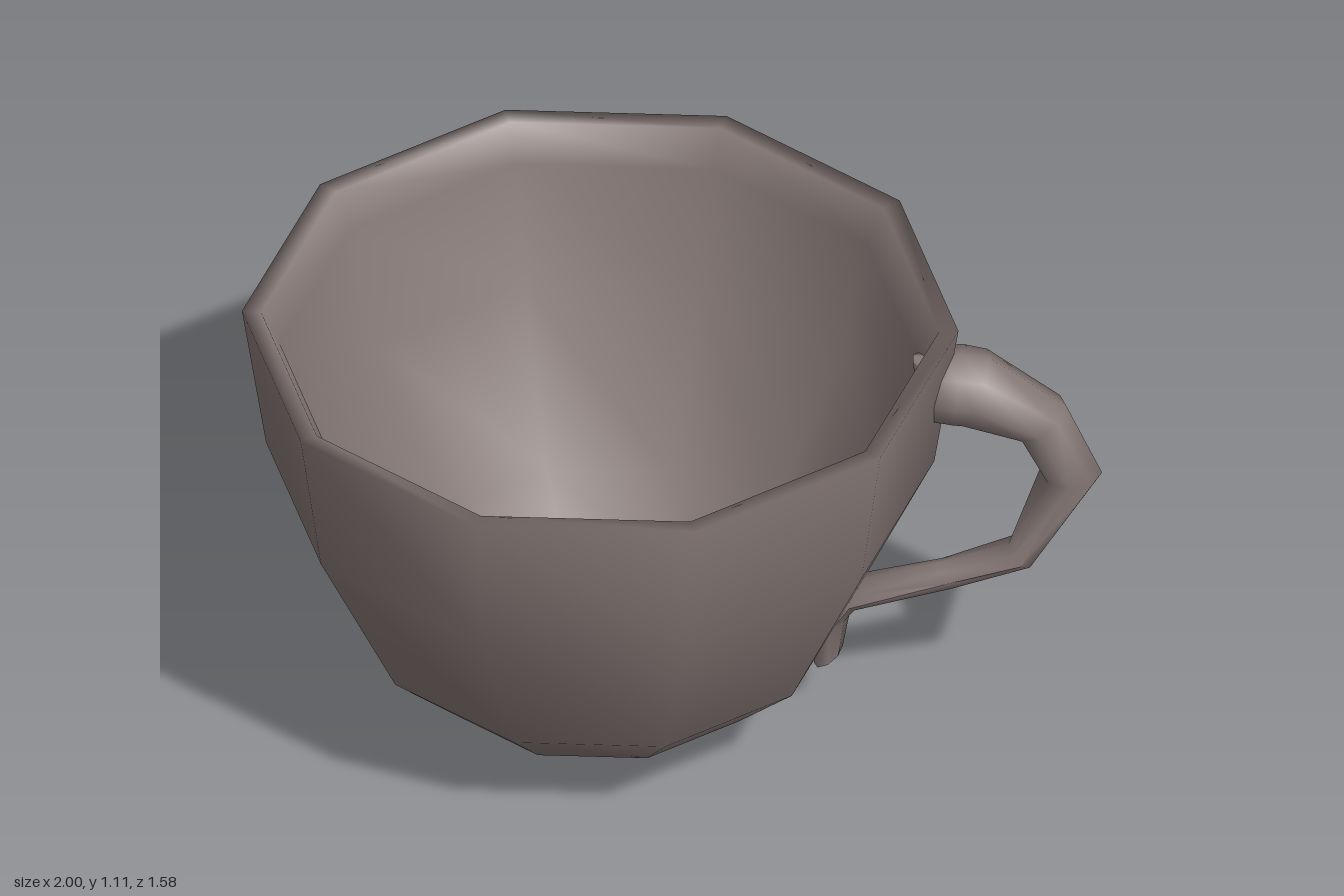
import * as THREE from 'three';
import { mergeVertices, toCreasedNormals } from 'three/addons/utils/BufferGeometryUtils.js';

const SIDES = 8;

// Skin through elliptical sections: [outer x, y, inner x, y, half width in z]
function loft(sections) {
  const pos = [], index = [];
  for (const [ox, oy, ix, iy, w] of sections) {
    for (let j = 0; j < SIDES; j++) {
      const a = (j / SIDES) * Math.PI * 2, c = Math.cos(a);
      pos.push((ox + ix) / 2 + c * (ox - ix) / 2, (oy + iy) / 2 + c * (oy - iy) / 2, w * Math.sin(a));
    }
  }
  const last = (sections.length - 1) * SIDES;
  const first = pos.length / 3;
  for (const [ox, oy, ix, iy] of [sections[0], sections[sections.length - 1]]) {
    pos.push((ox + ix) / 2, (oy + iy) / 2, 0);
  }
  for (let j = 0; j < SIDES; j++) {
    const k = (j + 1) % SIDES;
    for (let r = 0; r < last; r += SIDES) {
      index.push(r + j, r + k, r + SIDES + k, r + j, r + SIDES + k, r + SIDES + j);
    }
    index.push(first, k, j, first + 1, last + j, last + k);
  }
  const geo = new THREE.BufferGeometry();
  geo.setAttribute('position', new THREE.Float32BufferAttribute(pos, 3));
  geo.setIndex(index);
  return toCreasedNormals(geo, 1.1);
}

// Lathe whose normals are averaged across the seam and the poles
function smoothLathe(points, segments) {
  const profile = points.map(([r, y]) => new THREE.Vector2(r, y));
  const lathe = new THREE.LatheGeometry(profile, segments, Math.PI / 2);
  lathe.deleteAttribute('uv');
  lathe.deleteAttribute('normal');
  const geo = mergeVertices(lathe, 1e-4);
  geo.computeVertexNormals();
  return geo;
}

export function createModel() {
  const group = new THREE.Group();
  const material = new THREE.MeshStandardMaterial({ color: 0x857876 });

  // Ten-sided bowl: outer wall up to the rim, then the thick inner wall back down
  const bowl = new THREE.Mesh(smoothLathe([
    [0, 0], [0.215, 0.036], [0.412, 0.137], [0.57, 0.288], [0.777, 0.73], [0.833, 1.113],
    [0.788, 1.11], [0.745, 1.02], [0.672, 0.72], [0.465, 0.33], [0.33, 0.21], [0.17, 0.13], [0, 0.105],
  ], 10), material);
  bowl.name = 'bowl';
  bowl.position.x = -0.167;
  group.add(bowl);

  // Ear-shaped handle, thick at the top and thinning to a hanging tail
  const handle = new THREE.Mesh(loft([
    [0.56, 1.035, 0.565, 1.0, 0.02],
    [0.62, 1.04, 0.61, 0.87, 0.095],
    [0.675, 1.047, 0.65, 0.865, 0.102],
    [0.74, 1.035, 0.67, 0.862, 0.098],
    [0.917, 0.902, 0.8, 0.825, 0.078],
    [1.0, 0.71, 0.855, 0.715, 0.073],
    [0.843, 0.452, 0.782, 0.492, 0.06],
    [0.66, 0.372, 0.622, 0.432, 0.042],
    [0.43, 0.31, 0.4, 0.362, 0.06],
    [0.415, 0.29, 0.325, 0.235, 0.054],
    [0.397, 0.18, 0.33, 0.13, 0.042],
  ]), material);
  handle.name = 'handle';
  group.add(handle);

  return group;
}
